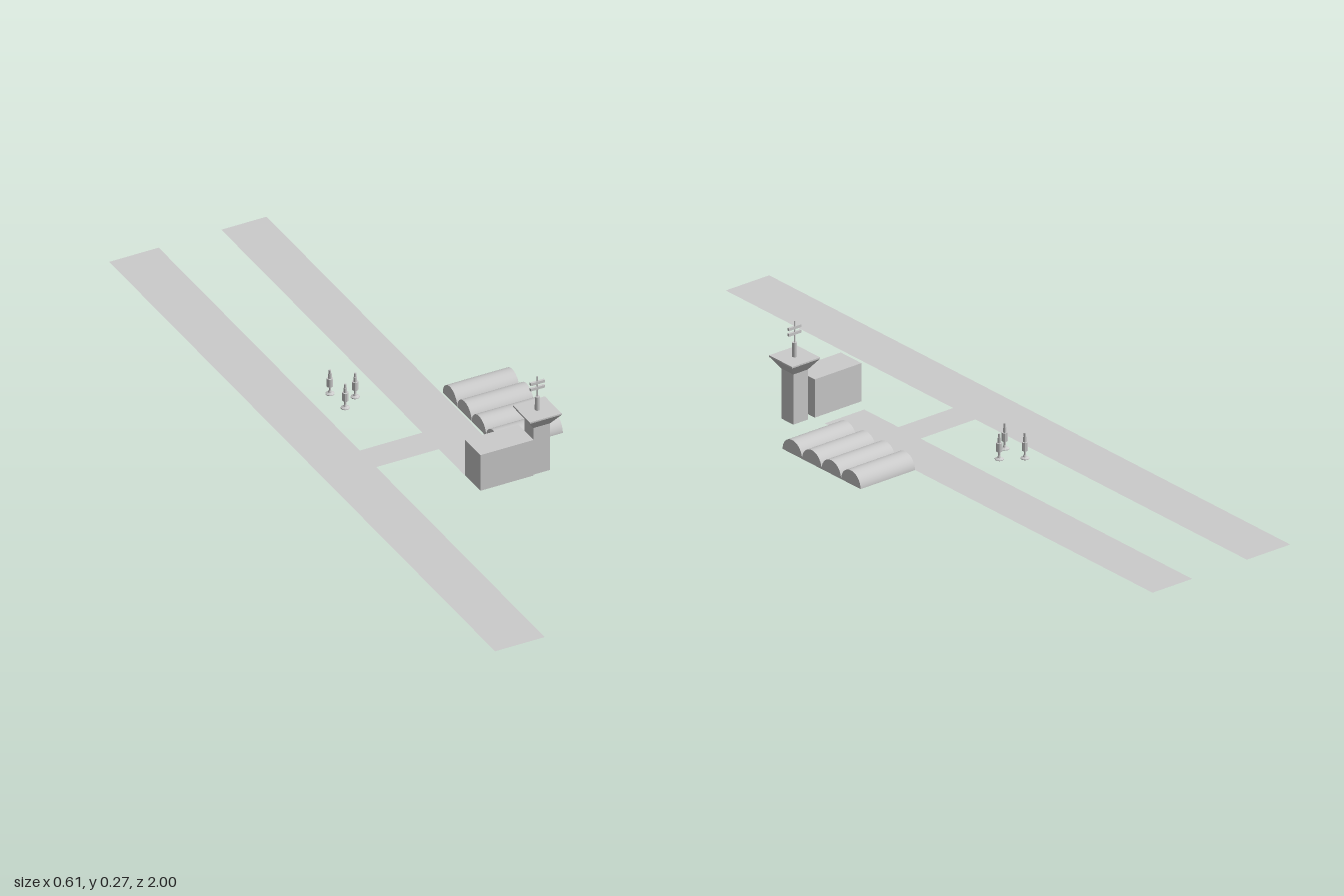
import * as THREE from 'three';

export function createModel() {
  const model = new THREE.Group();
  model.name = 'airfield';
  const smooth = new THREE.MeshStandardMaterial({ color: 0xcccccc });
  const flat = new THREE.MeshStandardMaterial({ color: 0xcccccc, flatShading: true });
  const sheet = new THREE.MeshStandardMaterial({ color: 0xcccccc, side: THREE.DoubleSide });

  const add = (parent, name, geometry, material, x = 0, y = 0, z = 0) => {
    const mesh = new THREE.Mesh(geometry, material);
    mesh.name = name;
    mesh.position.set(x, y, z);
    parent.add(mesh);
    return mesh;
  };
  // Box given by its lower and upper limits
  const box = (parent, name, [x0, x1], [y0, y1], [z0, z1]) =>
    add(parent, name, new THREE.BoxGeometry(x1 - x0, y1 - y0, z1 - z0), flat,
      (x0 + x1) / 2, (y0 + y1) / 2, (z0 + z1) / 2);
  // Flat ground strip
  const strip = (parent, name, x0, x1, z0, z1, y = 0) =>
    add(parent, name, new THREE.PlaneGeometry(x1 - x0, z1 - z0).rotateX(-Math.PI / 2), sheet,
      (x0 + x1) / 2, y, (z0 + z1) / 2);

  // Runways and the taxiway joining them
  strip(model, 'longRunway', -0.306, -0.169, -1, 1);
  strip(model, 'shortRunway', 0.004, 0.129, -1, 0.258);
  strip(model, 'taxiway', -0.169, 0.004, 0.042, 0.127);

  // Row of half-round hangars
  const hangars = new THREE.Group();
  hangars.name = 'hangars';
  model.add(hangars);
  const hangarX = [0.132, 0.304], radius = 0.0372, pitch = 0.075;
  const length = hangarX[1] - hangarX[0];
  for (let i = 0; i < 4; i++) {
    const z = -0.055 + i * pitch;
    const shell = new THREE.CylinderGeometry(radius, radius, length, 24, 1, false, 0, Math.PI);
    shell.rotateZ(Math.PI / 2);
    add(hangars, 'hangarShell', shell, smooth, (hangarX[0] + hangarX[1]) / 2, 0.002, z);
    strip(hangars, 'hangarFloor', ...hangarX, z - radius, z + radius, 0.002);
  }

  // Terminal block beside the tower
  box(model, 'terminal', [-0.004, 0.143], [0.012, 0.115], [0.279, 0.358]);

  // Control tower with flared cabin and antenna
  const tower = new THREE.Group();
  tower.name = 'controlTower';
  tower.position.set(0.174, 0, 0.319);
  model.add(tower);
  box(tower, 'towerShaft', [-0.023, 0.023], [0.003, 0.138], [-0.023, 0.023]);
  const cabin = new THREE.CylinderGeometry(0.044 * Math.SQRT2, 0.023 * Math.SQRT2, 0.03, 4);
  cabin.rotateY(Math.PI / 4);
  add(tower, 'cabin', cabin, flat, 0, 0.153, 0);
  box(tower, 'cabinRoof', [-0.044, 0.044], [0.168, 0.172], [-0.044, 0.044]);
  add(tower, 'antennaBase', new THREE.CylinderGeometry(0.0062, 0.0065, 0.038, 12), smooth, 0, 0.191, 0);
  add(tower, 'mast', new THREE.CylinderGeometry(0.002, 0.002, 0.06, 8), smooth, 0, 0.238, 0);
  for (const y of [0.235, 0.25]) {
    box(tower, 'crossbar', [-0.0195, 0.0195], [y - 0.0037, y + 0.0037], [-0.003, 0.003]);
  }

  // Cluster of three small beacons on flared feet
  const profile = [
    [0, 0.002], [0.0115, 0.002], [0.0115, 0.004], [0.005, 0.007], [0.0028, 0.013],
    [0.0028, 0.024], [0.008, 0.024], [0.008, 0.047], [0.0045, 0.047],
    [0.0045, 0.061], [0.0032, 0.061], [0.0032, 0.071], [0, 0.071],
  ].map(([r, y]) => new THREE.Vector2(r, y));
  const beacon = new THREE.LatheGeometry(profile, 10);
  for (const [x, y, z] of [[-0.066, 0, -0.175], [-0.115, 0.002, -0.214], [-0.112, 0.002, -0.14]]) {
    add(model, 'beacon', beacon, flat, x, y, z);
  }

  return model;
}
